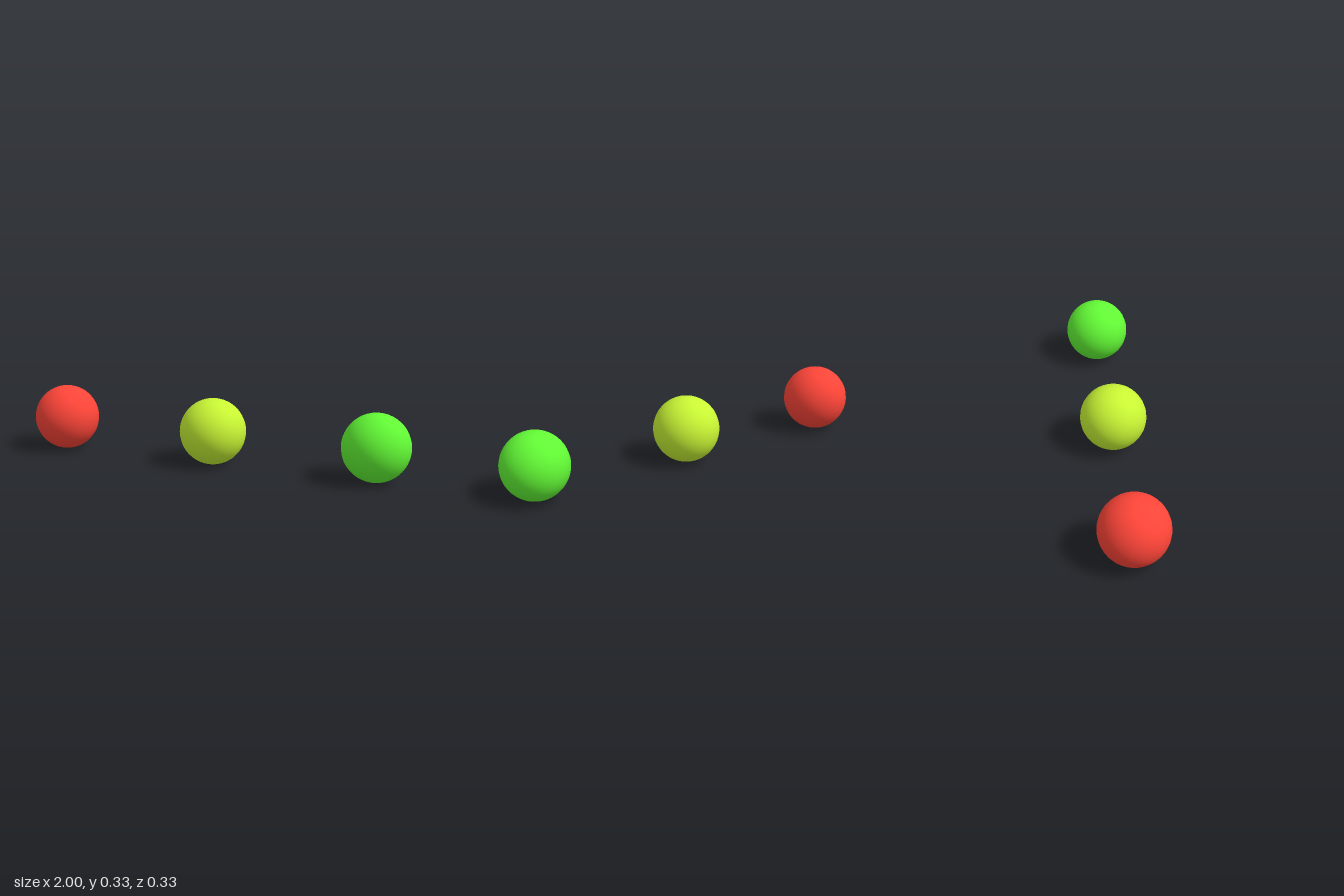
import * as THREE from 'three';

const RADIUS = 1 / 6;
const SPACING = 5 / 6;

export function createModel() {
  const model = new THREE.Group();
  model.name = 'ballRow';
  const geometry = new THREE.SphereGeometry(RADIUS, 32, 32);

  // Three equal balls in a row along x, resting on the ground
  const balls = [
    ['rightRedBall', -SPACING, 0xff4538],
    ['middleYellowBall', 0, 0xc8f534],
    ['leftGreenBall', SPACING, 0x62f935],
  ];
  for (const [name, x, color] of balls) {
    const ball = new THREE.Mesh(geometry, new THREE.MeshStandardMaterial({ color }));
    ball.name = name;
    ball.position.set(x, RADIUS, 0);
    model.add(ball);
  }
  return model;
}
